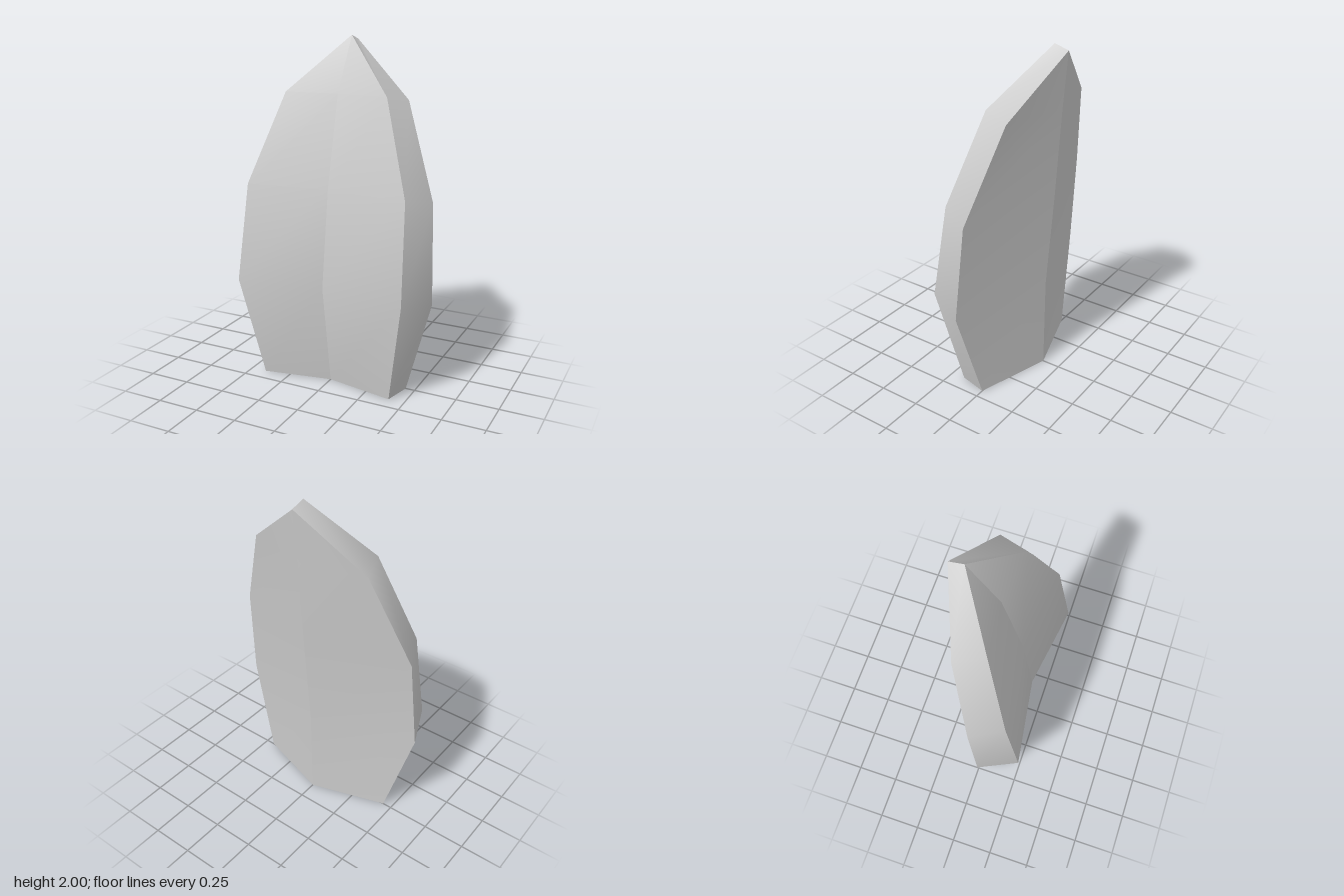
import * as THREE from 'three';

// Long edges of the plate, each running from base to tip as [x, y, z]
const frontRidge = [[0, 0, 0.09], [0, 0.61, 0.193], [0, 1.17, 0.12], [0, 1.69, -0.005], [0, 2, -0.185]];
const frontEdge = [[0.405, 0, 0.165], [0.51, 0.61, 0.27], [0.485, 1.17, 0.18], [0.31, 1.69, 0.03], [0, 2, -0.185]];
const backEdge = [[0.445, 0, 0], [0.605, 0.565, 0.045], [0.575, 1.13, -0.005], [0.37, 1.66, -0.138], [0, 1.975, -0.27]];
const backRidge = [[0, 0, -0.14], [0, 0.565, -0.15], [0, 1.13, -0.2], [0, 1.66, -0.24], [0, 1.975, -0.27]];

const mirror = (line) => line.map(([x, y, z]) => [-x, y, z]);
const same = (p, q) => p.every((v, i) => Math.abs(v - q[i]) < 1e-6);

// Surface between two long edges: smooth along its length, sharp at its borders
function strip(name, left, right, material) {
  const n = left.length;
  const index = [];
  for (let i = 0; i < n - 1; i++) {
    index.push(i, n + i, n + i + 1);
    if (!same(left[i + 1], right[i + 1])) index.push(i, n + i + 1, i + 1);
  }
  const geometry = new THREE.BufferGeometry();
  geometry.setAttribute('position', new THREE.Float32BufferAttribute([...left, ...right].flat(), 3));
  geometry.setIndex(index);
  geometry.computeVertexNormals();
  const mesh = new THREE.Mesh(geometry, material);
  mesh.name = name;
  return mesh;
}

export function createModel() {
  const group = new THREE.Group();
  group.name = 'pointedPlate';
  // Hollow shell, open at the base
  const material = new THREE.MeshStandardMaterial({ color: 0xcccccc, side: THREE.DoubleSide });

  // Left half
  group.add(
    strip('frontLeft', frontRidge, frontEdge, material),
    strip('sideLeft', frontEdge, backEdge, material),
    strip('backLeft', backEdge, backRidge, material),
  );
  // Right half
  group.add(
    strip('frontRight', mirror(frontEdge), frontRidge, material),
    strip('sideRight', mirror(backEdge), mirror(frontEdge), material),
    strip('backRight', backRidge, mirror(backEdge), material),
  );
  return group;
}
